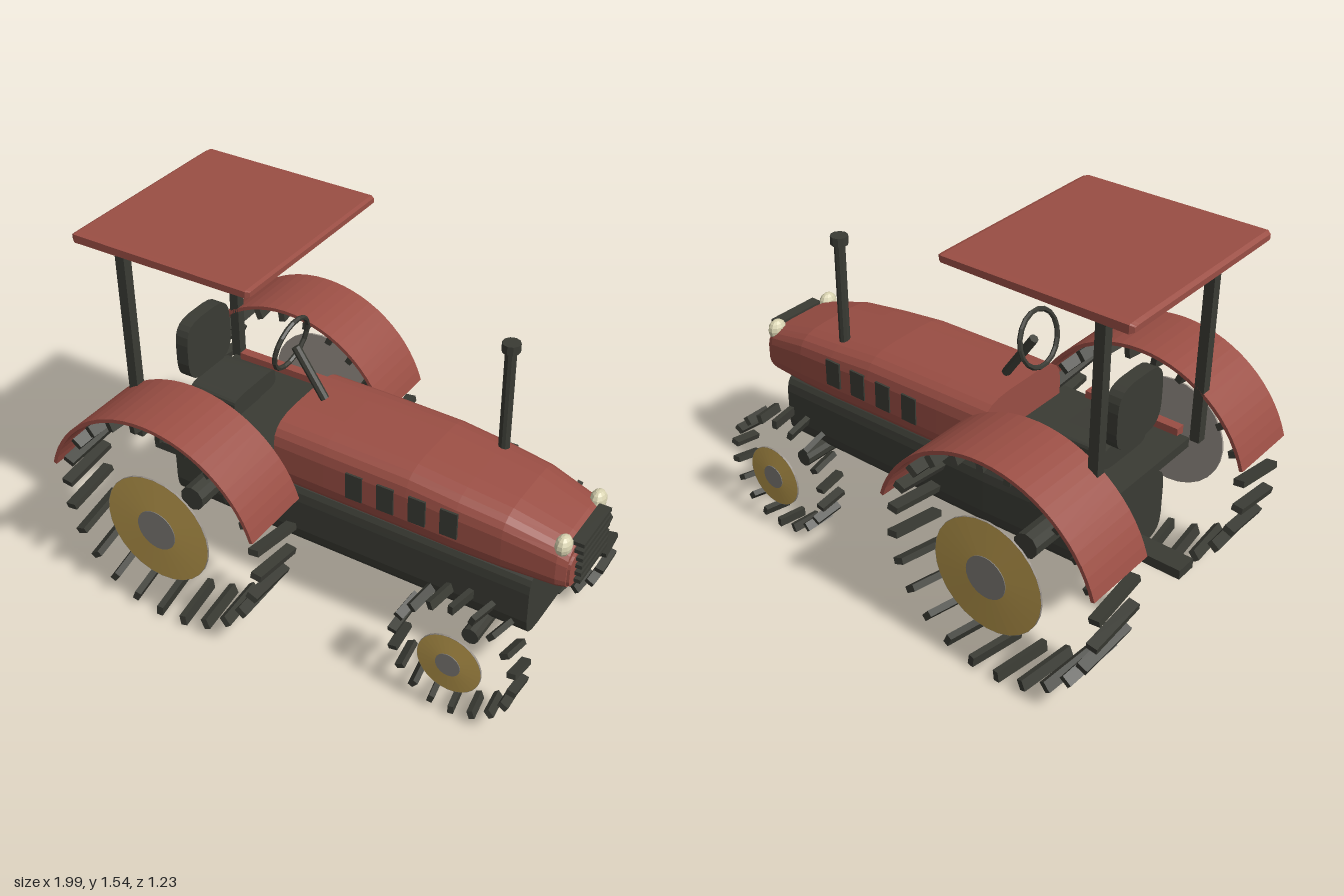
import * as THREE from 'three';

const paint = (name, hex) => {
  const m = new THREE.MeshStandardMaterial({ color: hex });
  m.name = name;
  return m;
};

export function createModel() {
  const red = paint('body red', 0x9a4e44);
  const dark = paint('iron dark', 0x3a3b34);
  const yellow = paint('rim yellow', 0xb8984c);
  const hubGrey = paint('hub grey', 0x7c7974);
  const backGrey = paint('rim back grey', 0x979088);
  const cream = paint('lamp cream', 0xd8d2b0);
  const root = new THREE.Group();
  root.name = 'tractor';

  // Faceted mesh with a plain name
  const add = (name, geo, mat, x = 0, y = 0, z = 0, parent = root) => {
    const g = geo.index ? geo.toNonIndexed() : geo;
    g.computeVertexNormals();
    const m = new THREE.Mesh(g, mat);
    m.name = name;
    m.position.set(x, y, z);
    parent.add(m);
    return m;
  };
  const box = (name, mat, [x0, x1], [y0, y1], [z0, z1]) =>
    add(name, new THREE.BoxGeometry(x1 - x0, y1 - y0, Math.abs(z1 - z0)), mat,
      (x0 + x1) / 2, (y0 + y1) / 2, (z0 + z1) / 2);
  const cyl = (r, h, n) => new THREE.CylinderGeometry(r, r, h, n);

  // Rounded-box cross-sections lofted along x: [x, yBottom, yTop, halfWidth]
  const loft = (stations, power, n = 24) => {
    const pos = [], idx = [], round = v => Math.sign(v) * Math.abs(v) ** power;
    for (const [x, y0, y1, w] of stations)
      for (let j = 0; j < n; j++) {
        const t = (j + 0.5) / n * Math.PI * 2;
        pos.push(x, (y0 + y1) / 2 + (y1 - y0) / 2 * round(Math.sin(t)), w * round(Math.cos(t)));
      }
    const last = stations.length - 1;
    for (let i = 0; i < last; i++)
      for (let j = 0; j < n; j++) {
        const k = (j + 1) % n, a = i * n + j, d = i * n + k;
        idx.push(a, a + n, d + n, a, d + n, d);
      }
    for (let j = 1; j < n - 1; j++) {
      idx.push(0, j, j + 1);
      idx.push(last * n, last * n + j + 1, last * n + j);
    }
    const g = new THREE.BufferGeometry();
    g.setAttribute('position', new THREE.Float32BufferAttribute(pos, 3));
    g.setIndex(idx);
    return g;
  };

  // Chassis and hood
  add('chassis', loft([[-0.73, 0.31, 0.62, 0.2], [-0.2, 0.3, 0.61, 0.21],
    [0.845, 0.28, 0.58, 0.2]], 0.4), dark);
  add('hood', loft([[-0.22, 0.57, 0.875, 0.235], [0, 0.567, 0.872, 0.238], [0.35, 0.56, 0.862, 0.238],
    [0.55, 0.553, 0.837, 0.234], [0.73, 0.547, 0.812, 0.222], [0.93, 0.54, 0.752, 0.192],
    [0.965, 0.54, 0.725, 0.175]], 0.52), red);
  add('nosePanel', loft([[0.95, 0.545, 0.7, 0.17], [0.975, 0.55, 0.695, 0.165]], 0.45), red);
  for (let i = 0; i < 6; i++)
    box('grilleBar', dark, [0.95, 1], [0.565 + i * 0.033, 0.581 + i * 0.033], [-0.12, 0.12]);

  // Exhaust stack
  add('exhaustPipe', cyl(0.022, 0.44, 10), dark, 0.55, 1.04, -0.145);
  add('exhaustCap', cyl(0.035, 0.035, 10), dark, 0.55, 1.265, -0.145);

  // Axles, hitch and platform
  add('frontAxle', cyl(0.035, 0.6, 10), dark, 0.67, 0.29, 0).rotation.x = Math.PI / 2;
  add('rearAxle', cyl(0.053, 0.74, 10), dark, -0.525, 0.483, 0).rotation.x = Math.PI / 2;
  box('hitch', dark, [-0.97, -0.7], [0.355, 0.395], [-0.045, 0.045]);
  box('platform', dark, [-0.77, -0.2], [0.665, 0.705], [-0.29, 0.29]);

  // Seat
  box('seatBase', dark, [-0.62, -0.5], [0.7, 0.76], [-0.08, 0.08]);
  add('seatCushion', loft([[-0.68, 0.74, 0.835, 0.13], [-0.465, 0.75, 0.83, 0.14]], 0.4), dark);
  add('seatBack', loft([[-0.73, 0.83, 1.095, 0.14], [-0.675, 0.83, 1.095, 0.14]], 0.55), dark);

  // Steering
  const column = add('steeringColumn', cyl(0.018, 0.23, 8), dark, -0.203, 0.975, 0);
  column.rotation.z = Math.atan2(0.125, 0.19);
  const wheel = add('steeringWheel', new THREE.TorusGeometry(0.108, 0.01, 6, 18), dark, -0.287, 1.08, 0);
  wheel.rotation.set(0, Math.PI / 2, -0.22, 'ZYX');

  // Canopy
  const roof = add('canopy', loft([[-0.94, 1.523, 1.545, 0.405], [-0.925, 1.515, 1.554, 0.415],
    [-0.185, 1.515, 1.545, 0.415], [-0.17, 1.52, 1.54, 0.405]], 0.12, 16), red);
  roof.name = 'canopy';
  box('canopyCrossbar', dark, [-0.8, -0.76], [1.49, 1.517], [-0.35, 0.35]);

  // Fender arc, seen along z
  const fenderShape = new THREE.Shape();
  fenderShape.absarc(0, 0, 0.487, 0.3, Math.PI - 0.3, false);
  fenderShape.absarc(0, 0, 0.472, Math.PI - 0.3, 0.3, true);
  const fenderGeo = new THREE.ExtrudeGeometry(fenderShape,
    { depth: 0.305, bevelEnabled: false, curveSegments: 14 });

  // Wheel: open ring of tread lugs around a thin disc
  const addWheel = (name, side, s) => {
    const g = new THREE.Group();
    g.name = name;
    g.position.set(s.x, s.y, 0);
    root.add(g);
    for (let i = 0; i < s.count; i++) {
      const a = (i + 0.5) / s.count * Math.PI * 2;
      const lug = add('treadLug', new THREE.BoxGeometry(s.tall, s.wide, s.length), dark,
        Math.cos(a) * s.ring, Math.sin(a) * s.ring, side * s.lugZ, g);
      lug.rotation.set(-side * s.yaw, 0, a, 'ZYX');
    }
    const plate = (part, r0, r1, h, mat, z) => {
      const p = add(part, new THREE.CylinderGeometry(r1, r0, h, 28), mat, 0, 0, side * z, g);
      p.rotation.x = side * Math.PI / 2;
    };
    plate('rimBack', s.rim, s.rim, 0.008, backGrey, s.discZ);
    plate('rimFace', s.rim - 0.001, s.hub, 0.006, yellow, s.discZ + 0.007);
    plate('hubCap', s.hub, s.hub, 0.004, hubGrey, s.discZ + 0.011);
  };

  for (const side of [1, -1]) {
    addWheel('rearWheel', side, { x: -0.525, y: 0.483, count: 24, ring: 0.447, tall: 0.045, wide: 0.026,
      length: 0.245, yaw: 0.16, lugZ: 0.46, rim: 0.235, hub: 0.087, discZ: 0.582 });
    addWheel('frontWheel', side, { x: 0.67, y: 0.292, count: 18, ring: 0.245, tall: 0.036, wide: 0.022,
      length: 0.12, yaw: 0.18, lugZ: 0.392, rim: 0.13, hub: 0.05, discZ: 0.46 });

    add('fender', fenderGeo, red, -0.525, 0.495, side > 0 ? 0.31 : -0.615);
    box('fenderRail', red, [-0.73, -0.315], [0.7, 0.735], [side * 0.27, side * 0.31]);
    box('canopyPost', dark, [-0.8, -0.76], [0.68, 1.517], [side * 0.31, side * 0.35]);

    // Headlamp and side vents
    const lamp = add('headlamp', new THREE.SphereGeometry(0.042, 10, 8), cream, 0.935, 0.738, side * 0.148);
    lamp.scale.x = 0.75;
    for (const x of [0.135, 0.268, 0.4, 0.53])
      box('hoodVent', dark, [x - 0.035, x + 0.035], [0.665, 0.778], [side * 0.234, side * 0.243]);
  }
  return root;
}
